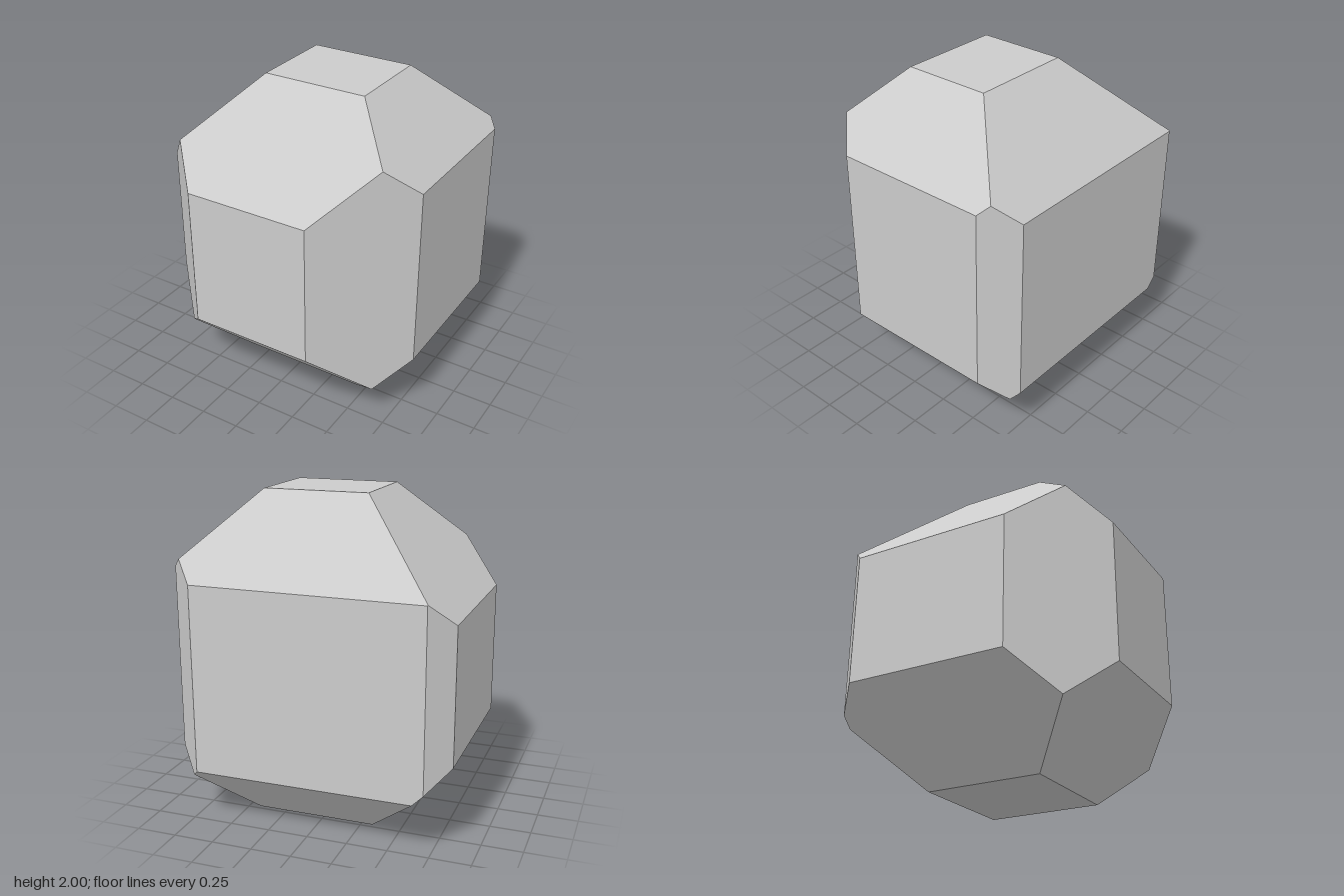
import * as THREE from 'three';

// Each facet is a plane: direction [x, y, z] and limit, with dot(direction, point) <= limit
const FACETS = [
  // six main faces
  [1, 0, 0, 0.861], [-1, 0, 0, 0.861],
  [0, 1, 0, 2], [0, -1, 0, 0],
  [0, 0, 1, 0.814], [0, 0, -1, 0.814],
  // bevels around the front outline
  [1, 1, 0, 2.425], [-1, 1, 0, 2.23], [1, -1, 0, 0.428], [-1, -1, 0, 0.319],
  // bevels around the side outline
  [0, 1, 1, 2.24], [0, 1, -1, 2.312], [0, -1, 1, 0.274], [0, -1, -1, 0.472],
  // bevels on the upright edges
  [1, 0, 1, 1.207], [-1, 0, 1, 1.209], [1, 0, -1, 1.5], [-1, 0, -1, 1.541],
].map(([x, y, z, d]) => ({ n: new THREE.Vector3(x, y, z), d }));

// Point shared by three planes, or null if they have none
function meet(a, b, c) {
  const bc = b.n.clone().cross(c.n);
  const det = a.n.dot(bc);
  if (Math.abs(det) < 1e-6) return null;
  return bc.multiplyScalar(a.d)
    .addScaledVector(c.n.clone().cross(a.n), b.d)
    .addScaledVector(a.n.clone().cross(b.n), c.d)
    .divideScalar(det);
}

// Corners of one facet, in counter-clockwise order seen from outside
function facetCorners(f) {
  const pts = [];
  for (let i = 0; i < FACETS.length; i++) {
    for (let j = i + 1; j < FACETS.length; j++) {
      const p = meet(f, FACETS[i], FACETS[j]);
      if (!p || FACETS.some((g) => g.n.dot(p) > g.d + 1e-6)) continue;
      if (!pts.some((q) => q.distanceTo(p) < 1e-5)) pts.push(p);
    }
  }
  const centre = pts.reduce((s, p) => s.add(p), new THREE.Vector3()).divideScalar(pts.length);
  const u = pts[0].clone().sub(centre).normalize();
  const v = f.n.clone().normalize().cross(u);
  const angle = (p) => {
    const r = p.clone().sub(centre);
    return Math.atan2(r.dot(v), r.dot(u));
  };
  return pts.sort((p, q) => angle(p) - angle(q));
}

export function createModel() {
  // Fan each facet into triangles with its own flat corners
  const positions = [];
  for (const f of FACETS) {
    const c = facetCorners(f);
    for (let i = 1; i < c.length - 1; i++) {
      for (const p of [c[0], c[i], c[i + 1]]) positions.push(p.x, p.y, p.z);
    }
  }
  const geometry = new THREE.BufferGeometry();
  geometry.setAttribute('position', new THREE.Float32BufferAttribute(positions, 3));
  geometry.computeVertexNormals();

  const block = new THREE.Mesh(
    geometry,
    new THREE.MeshStandardMaterial({ color: 0xcccccc, flatShading: true }),
  );
  block.name = 'facetedBlock';

  const model = new THREE.Group();
  model.name = 'bevelledPolyhedron';
  model.add(block);
  return model;
}
